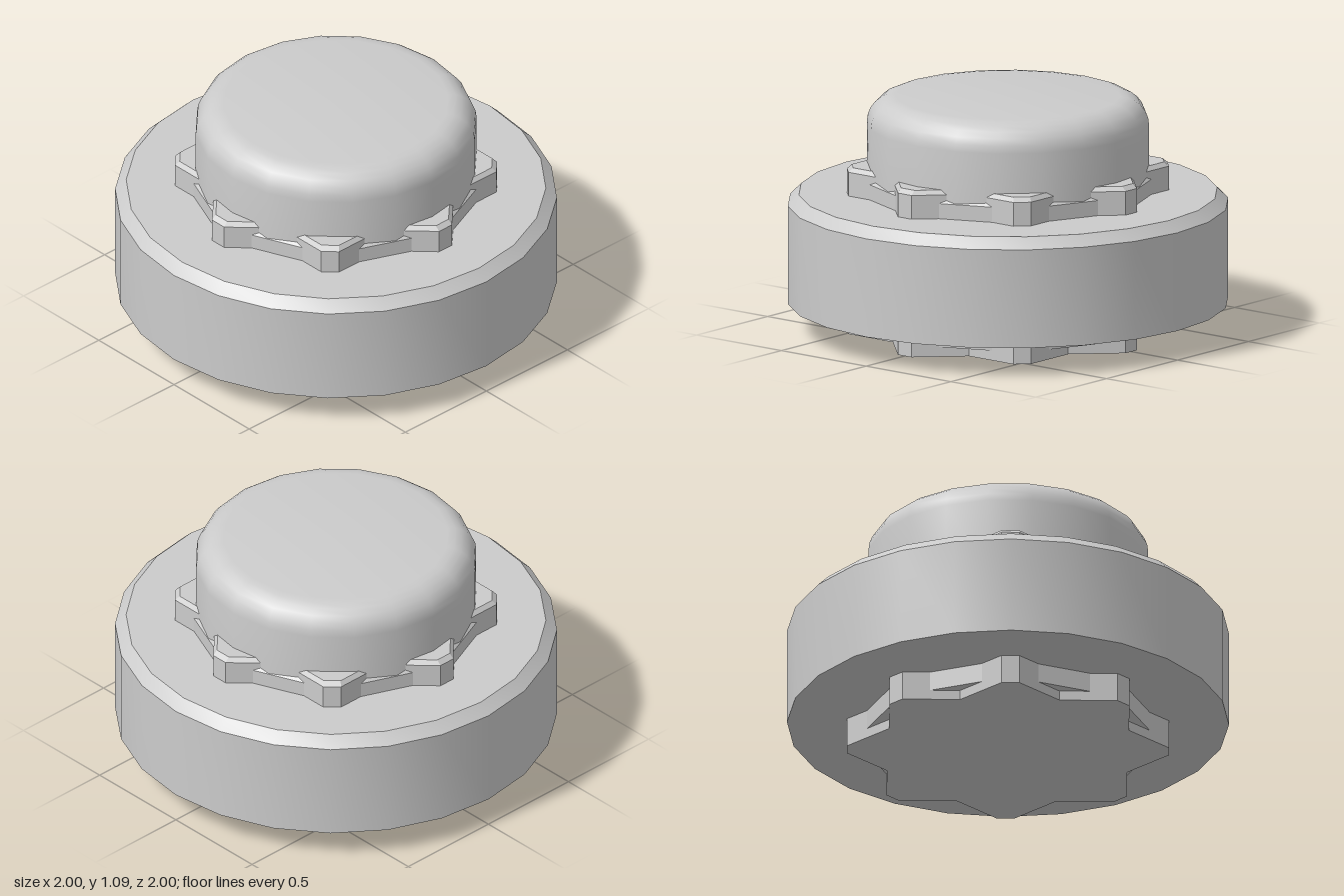
import * as THREE from 'three';
import { toCreasedNormals } from 'three/addons/utils/BufferGeometryUtils.js';

const smoothGrey = new THREE.MeshStandardMaterial({ color: 0xcccccc });
const flatGrey = new THREE.MeshStandardMaterial({ color: 0xcccccc, flatShading: true });

// Turned part from a bottom-to-top profile, with crisp edges kept
function turned(name, profile, sides) {
  const points = profile.map(([r, y]) => new THREE.Vector2(r, y));
  const mesh = new THREE.Mesh(toCreasedNormals(new THREE.LatheGeometry(points, sides), 0.6), smoothGrey);
  mesh.name = name;
  return mesh;
}

// Solid joining scaled copies of an [x, z] outline; each level is [y, scale]
function stacked(name, outline, levels) {
  const pos = [];
  const put = (i, [y, s]) => {
    const [x, z] = outline[i % outline.length];
    pos.push(x * s, y, z * s);
  };
  for (let k = 0; k < levels.length - 1; k++) {
    const lo = levels[k], hi = levels[k + 1];
    for (let i = 0; i < outline.length; i++) {
      if (lo[1] > 0) { put(i, lo); put(i + 1, lo); put(i + 1, hi); }
      if (hi[1] > 0) { put(i, lo); put(i + 1, hi); put(i, hi); }
      else if (lo[1] === 0) continue;
    }
  }
  const geometry = new THREE.BufferGeometry();
  geometry.setAttribute('position', new THREE.Float32BufferAttribute(pos, 3));
  geometry.computeVertexNormals();
  const mesh = new THREE.Mesh(geometry, flatGrey);
  mesh.name = name;
  return mesh;
}

// Repeats a few [x, z] points eight times around the axis
function eightfold(points) {
  const outline = [];
  for (let k = 0; k < 8; k++) {
    const c = Math.cos(k * Math.PI / 4), s = Math.sin(k * Math.PI / 4);
    for (const [x, z] of points) outline.push([x * c + z * s, z * c - x * s]);
  }
  return outline;
}

export function createModel() {
  const group = new THREE.Group();
  group.name = 'knobOnDisc';

  // Wide disc with a chamfered top rim
  group.add(turned('disc', [[0, 0.135], [1, 0.135], [1, 0.59], [0.95, 0.64], [0, 0.64]], 24));

  // Round knob with a rolled-over top edge
  const knob = [[0, 0.6], [0.64, 0.6]];
  for (let i = 0; i <= 6; i++) {
    const a = (i / 6) * Math.PI / 2;
    knob.push([0.51 + 0.13 * Math.cos(a), 0.955 + 0.13 * Math.sin(a)]);
  }
  knob.push([0, 1.085]);
  group.add(turned('knob', knob, 20));

  // Eight-pointed collar with blunt tips, running through the disc
  const star = eightfold([[-0.04, 0.728], [0.04, 0.728], [0.225, 0.543]]);
  group.add(stacked('starCollar', star, [[0, 0], [0, 1], [0.75, 1], [0.77, 0.97], [0.77, 0]]));

  // Octagonal web filling the valleys between the points
  const octagon = eightfold([[0, 0.64 / Math.cos(Math.PI / 8)]]);
  group.add(stacked('valleyWeb', octagon, [[0.045, 0], [0.045, 1], [0.71, 1], [0.73, 0.97], [0.73, 0]]));

  return group;
}
